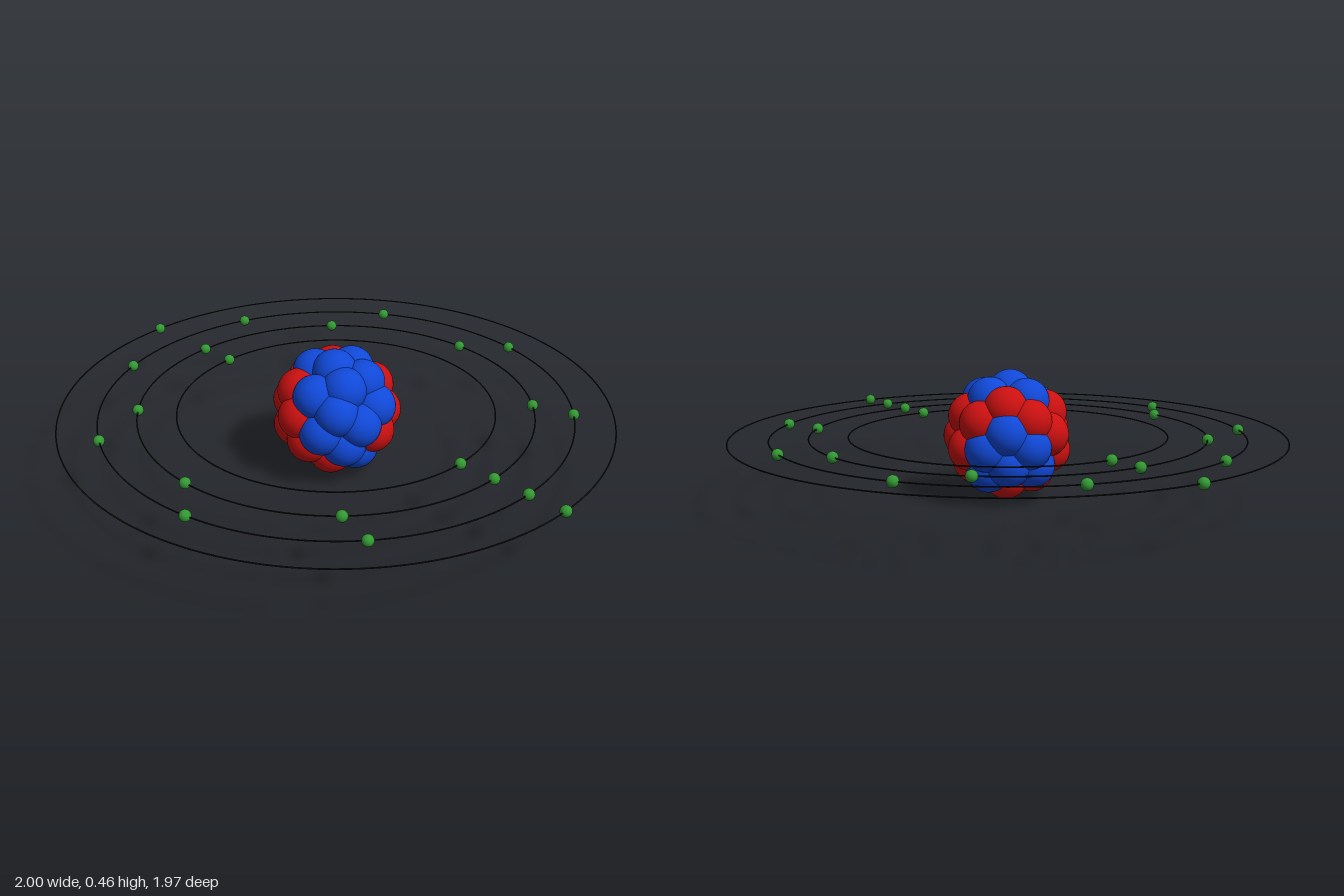
import * as THREE from 'three';

const CENTER_Y = 0.235;
const SHELL_R = 0.152, NUCLEON_R = 0.08, ELECTRON_R = 0.02;

// rough directions of the nucleons on the outside of the nucleus
const PROTONS = [
  [-6, 6, 27], [-18, -10, 20], [2, -16, 23], [-10, -25, 10], [-26, 8, 2], [-15, 18, 16],
  [-26, -2, 11], [20, 8, -18], [8, 14, -24], [6, -13, -24], [24, -12, -7], [-15, 19, -14],
  [10, -25, -12], [-3, -27, -4], [-7, 8, -26], [4, -26, 14],
];
const NEUTRONS = [
  [15, -4, 24], [5, 17, 22], [22, -18, 14], [-22, -18, 3], [-3, 28, 2], [1, 24, -14],
  [16, 23, -2], [26, 2, 6], [14, 20, 13], [18, 10, 20], [15, -24, 4], [-15, 0, -23],
  [-25, -10, -5], [-21, -14, -15], [-9, -22, -14], [-16, 23, 2], [-26, 8, -14], [27, 8, -6],
];

// push the nucleons apart so that they pack evenly over the sphere
function packNucleons() {
  const pts = [...PROTONS, ...NEUTRONS].map((p) => new THREE.Vector3(...p).normalize());
  for (let step = 0; step < 60; step++) {
    const moves = pts.map((p) => {
      const push = new THREE.Vector3();
      for (const q of pts) {
        if (q === p) continue;
        const d = p.clone().sub(q);
        const gap = 0.62 - d.length();
        if (gap > 0) push.addScaledVector(d.normalize(), gap * 0.3);
      }
      return push;
    });
    pts.forEach((p, i) => p.add(moves[i]).normalize());
  }
  return pts;
}

function addMesh(parent, name, geometry, material, position) {
  const mesh = new THREE.Mesh(geometry, material);
  mesh.name = name;
  if (position) mesh.position.copy(position);
  parent.add(mesh);
  return mesh;
}

export function createModel() {
  const model = new THREE.Group();
  model.name = 'atom';
  model.position.y = 0;
  const red = new THREE.MeshStandardMaterial({ color: 0xcc1010 });
  const blue = new THREE.MeshStandardMaterial({ color: 0x1048d8 });
  const green = new THREE.MeshStandardMaterial({ color: 0x339933 });
  const black = new THREE.MeshStandardMaterial({ color: 0x111111 });

  // nucleus: packed red and blue balls around a hidden core
  const nucleus = new THREE.Group();
  nucleus.name = 'nucleus';
  nucleus.position.y = CENTER_Y;
  model.add(nucleus);
  const ball = new THREE.SphereGeometry(NUCLEON_R, 32, 20);
  packNucleons().forEach((p, i) => {
    const proton = i < PROTONS.length;
    addMesh(nucleus, proton ? 'proton' : 'neutron', ball, proton ? red : blue, p.multiplyScalar(SHELL_R));
  });
  addMesh(nucleus, 'core', new THREE.SphereGeometry(0.14, 24, 16), blue);

  // flat electron shells: [radius, number of electrons]
  const bead = new THREE.SphereGeometry(ELECTRON_R, 24, 16);
  for (const [radius, count] of [[0.565, 2], [0.703, 8], [0.84, 9], [0.98, 2]]) {
    const shell = new THREE.Group();
    shell.name = 'electronShell';
    shell.position.y = CENTER_Y;
    model.add(shell);
    addMesh(shell, 'orbit', new THREE.TorusGeometry(radius, 0.0025, 8, 160), black).rotation.x = Math.PI / 2;
    for (let i = 0; i < count; i++) {
      const a = (i / count) * Math.PI * 2;
      addMesh(shell, 'electron', bead, green, new THREE.Vector3(radius * Math.cos(a), 0, radius * Math.sin(a)));
    }
  }
  return model;
}
